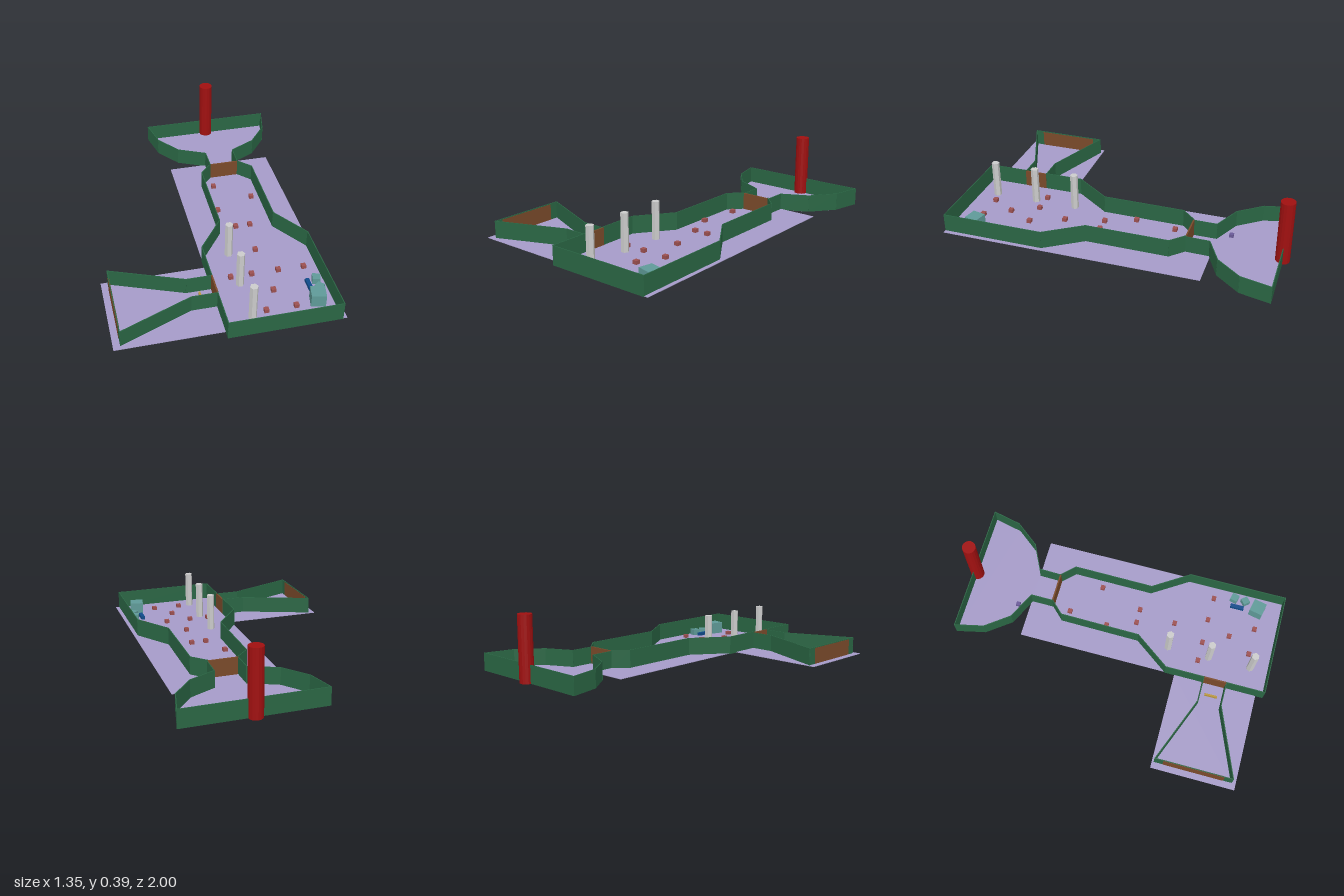
import * as THREE from 'three';

const material = (color) => new THREE.MeshStandardMaterial({ color, flatShading: true, side: THREE.DoubleSide });
const GREEN = material(0x2a6644), LILAC = material(0xa59bc8), BROWN = material(0x7a4a2a);
const RED = material(0xa01010), GREY = material(0xcccccc), TEAL = material(0x5f9a98);
const BRICK = material(0x9c5050), BLUE = material(0x0f4a8a), YELLOW = material(0xb8963c), PURPLE = material(0x6a5a98);

export function createModel() {
  const model = new THREE.Group();

  const add = (parent, name, geometry, mat, x, y, z, turn = 0) => {
    const mesh = new THREE.Mesh(geometry, mat);
    mesh.name = name;
    mesh.position.set(x, y, z);
    mesh.rotation.y = turn;
    parent.add(mesh);
    return mesh;
  };
  // Box standing on height y
  const block = (parent, name, mat, x, y, z, w, h, d, turn = 0) =>
    add(parent, name, new THREE.BoxGeometry(w, h, d), mat, x, y + h / 2, z, turn);

  // Thin upright wall following a path of [x, z] points
  const wall = (name, path, bottom, top) => {
    const group = new THREE.Group();
    group.name = name;
    for (let i = 0; i < path.length - 1; i++) {
      const [x0, z0] = path[i], [x1, z1] = path[i + 1];
      const length = Math.hypot(x1 - x0, z1 - z0) + 0.004;
      block(group, 'wallPanel', GREEN, (x0 + x1) / 2, bottom, (z0 + z1) / 2,
        length, top - bottom, 0.005, -Math.atan2(z1 - z0, x1 - x0));
    }
    model.add(group);
  };

  // Floors of the hall, the side room and the back room
  block(model, 'hallFloor', LILAC, 0.263, 0.007, 0.215, 0.665, 0.003, 1.56);
  block(model, 'sideRoomFloor', LILAC, -0.372, 0.006, 0.693, 0.605, 0.003, 0.515);
  const backOutline = [[0.17, -0.56], [0, -0.64], [-0.11, -0.785], [-0.15, -0.963],
    [0.67, -0.963], [0.63, -0.785], [0.515, -0.64], [0.355, -0.56]];
  const backShape = new THREE.Shape(backOutline.map(([x, z]) => new THREE.Vector2(x, -z)));
  const backFloor = new THREE.ExtrudeGeometry(backShape, { depth: 0.006, bevelEnabled: false });
  backFloor.rotateX(-Math.PI / 2);
  add(model, 'backRoomFloor', backFloor, LILAC, 0, 0.004, 0);

  // Walls
  wall('hallWallLeft', [[0.35, -0.42], [0.428, -0.34], [0.425, 0.16], [0.57, 0.38],
    [0.57, 0.993], [-0.07, 0.993], [-0.07, 0.755]], 0.004, 0.118);
  wall('hallWallRight', [[0.17, -0.42], [0.093, -0.34], [0.088, 0.16], [-0.07, 0.375], [-0.07, 0.615]], 0.004, 0.118);
  wall('sideRoomWall', [[-0.07, 0.615], [-0.217, 0.615], [-0.633, 0.45], [-0.633, 0.923],
    [-0.217, 0.755], [-0.07, 0.755]], 0, 0.112);
  wall('backRoomWall', [[0.17, -0.42], ...backOutline, [0.352, -0.42]], 0.005, 0.112);

  // Doors
  block(model, 'backDoor', BROWN, 0.26, 0.006, -0.42, 0.18, 0.108, 0.009);
  block(model, 'sideDoor', BROWN, -0.07, 0.006, 0.685, 0.009, 0.108, 0.14);
  block(model, 'endDoor', BROWN, -0.633, 0.004, 0.687, 0.008, 0.103, 0.37);

  // Tall round tower and the row of hexagonal columns
  add(model, 'tower', new THREE.CylinderGeometry(0.042, 0.042, 0.387, 16), RED, 0.262, 0.1975, -0.961);
  for (const z of [0.355, 0.615, 0.88])
    add(model, 'column', new THREE.CylinderGeometry(0.0235, 0.0235, 0.232, 6), GREY, 0.095, 0.122, z, Math.PI / 6);

  // Small cubes scattered over the hall
  const cubes = [[0.163, -0.307], [0.374, -0.148], [0.132, -0.058], [0.2, 0.122], [0.29, 0.122],
    [0.258, 0.357], [0.056, 0.556], [0.18, 0.556], [0.338, 0.556], [0.49, 0.56],
    [0.264, 0.71], [0.18, 0.854], [0.352, 0.854]];
  for (const [x, z] of cubes) block(model, 'smallCube', BRICK, x, 0.005, z, 0.027, 0.027, 0.027);
  block(model, 'backRoomCube', PURPLE, 0.122, 0.003, -0.64, 0.025, 0.027, 0.025);

  // Crates and bars
  block(model, 'largeCrate', TEAL, 0.478, 0.005, 0.842, 0.083, 0.08, 0.083, -0.21);
  block(model, 'smallCrate', TEAL, 0.522, 0.005, 0.687, 0.046, 0.044, 0.046, -0.25);
  block(model, 'smallCrate', TEAL, 0.519, 0.005, 0.757, 0.043, 0.042, 0.043, 0.72);
  block(model, 'blueBar', BLUE, 0.472, 0.005, 0.715, 0.024, 0.025, 0.085);
  block(model, 'yellowBar', YELLOW, -0.148, 0.004, 0.685, 0.011, 0.028, 0.078);

  return model;
}
